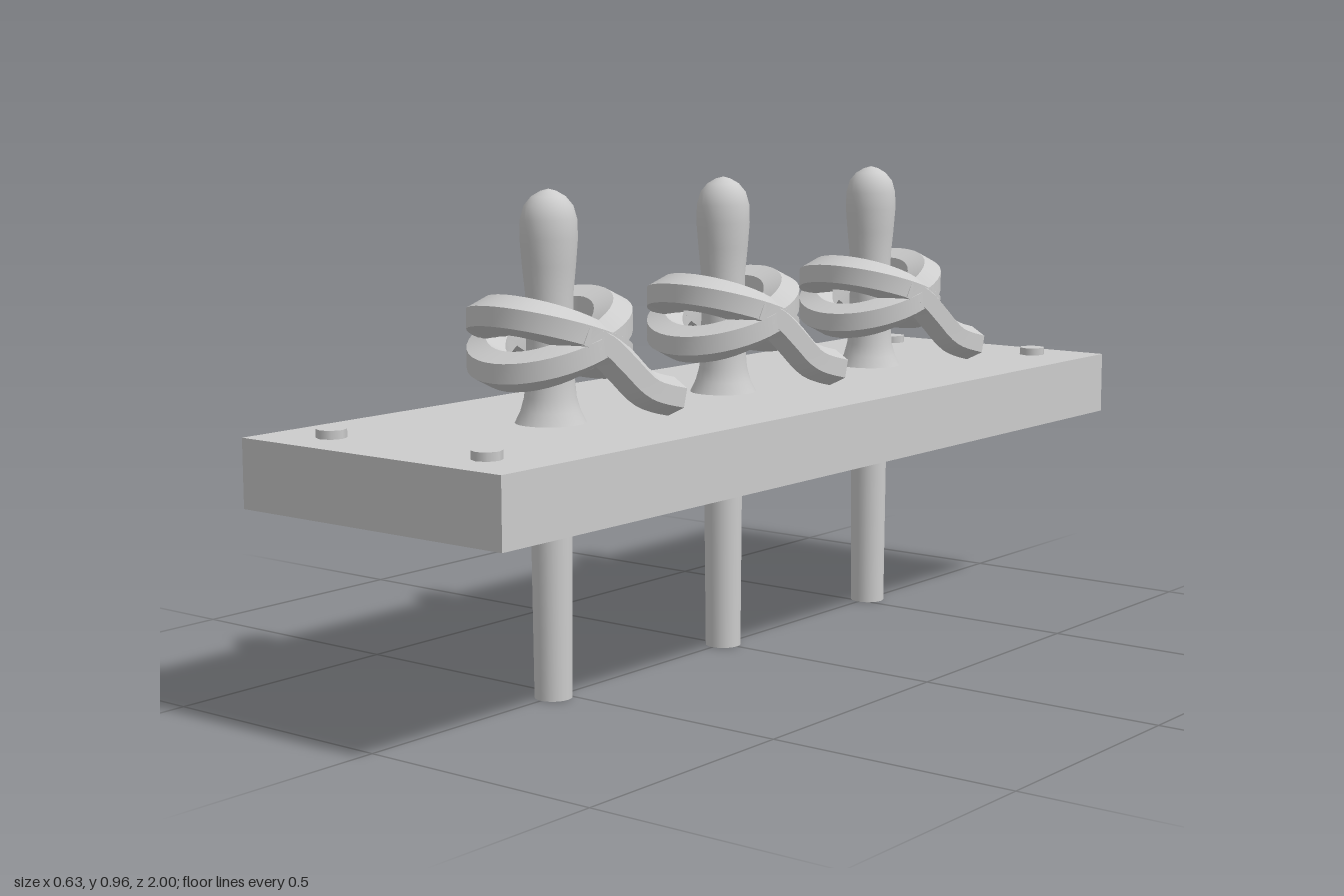
import * as THREE from 'three';

const rope = { r: 0.037, w: 0.036, sides: 6 };

// Sweeps an upright hexagon along a curve; crisp along the edges, smooth lengthwise
function sweepRope(curve, steps, closed) {
  const pos = [], index = [], rings = [];
  const up = new THREE.Vector3(0, 1, 0);
  for (let i = 0; i <= steps; i++) {
    const p = curve.getPoint(i / steps), t = curve.getTangent(i / steps);
    const side = new THREE.Vector3().crossVectors(t, up).normalize();
    const top = new THREE.Vector3().crossVectors(side, t).normalize();
    const ring = [];
    for (let k = 0; k < rope.sides; k++) {
      const a = (k / rope.sides) * Math.PI * 2;
      ring.push(p.clone()
        .addScaledVector(side, Math.sin(a) * rope.w / 0.866)
        .addScaledVector(top, Math.cos(a) * rope.r));
    }
    rings.push(ring);
  }
  for (let k = 0; k < rope.sides; k++) {
    const base = pos.length / 3;
    for (const ring of rings) {
      pos.push(...ring[k].toArray(), ...ring[(k + 1) % rope.sides].toArray());
    }
    for (let i = 0; i < steps; i++) {
      const a = base + i * 2;
      index.push(a, a + 1, a + 2, a + 1, a + 3, a + 2);
    }
  }
  if (!closed) {
    for (const end of [0, steps]) {
      const base = pos.length / 3;
      rings[end].forEach((v) => pos.push(...v.toArray()));
      for (let k = 1; k < rope.sides - 1; k++) {
        if (end === 0) index.push(base, base + k + 1, base + k);
        else index.push(base, base + k, base + k + 1);
      }
    }
  }
  const g = new THREE.BufferGeometry();
  g.setAttribute('position', new THREE.Float32BufferAttribute(pos, 3));
  g.setIndex(index);
  g.computeVertexNormals();
  return g;
}

// Tilted closed loop around a pin; tilt is the height gained at the front
class LoopCurve extends THREE.Curve {
  constructor(tilt) { super(); this.tilt = tilt; }
  getPoint(t, target = new THREE.Vector3()) {
    const a = t * Math.PI * 2;
    return target.set(0.118 * Math.cos(a), 0.686 + this.tilt * Math.sin(a), 0.118 * Math.sin(a));
  }
  getTangent(t, target = new THREE.Vector3()) {
    const a = t * Math.PI * 2;
    return target.set(-0.118 * Math.sin(a), this.tilt * Math.cos(a), 0.118 * Math.cos(a)).normalize();
  }
}

export function createModel() {
  const model = new THREE.Group();
  model.name = 'pinRail';
  const grey = new THREE.MeshStandardMaterial({ color: 0xcccccc });
  grey.name = 'light grey';
  // Double sided so rope surfaces stay closed
  grey.side = THREE.DoubleSide;

  const add = (name, geometry, parent = model) => {
    const mesh = new THREE.Mesh(geometry, grey);
    mesh.name = name;
    parent.add(mesh);
    return mesh;
  };

  // Rail board
  add('rail', new THREE.BoxGeometry(0.63, 0.13, 2)).position.y = 0.462;

  // Bolts at the corners
  const boltGeometry = new THREE.CylinderGeometry(0.028, 0.028, 0.03, 8);
  for (const x of [-0.19, 0.19]) {
    for (const z of [-0.9, 0.9]) add('bolt', boltGeometry).position.set(x, 0.528, z);
  }

  // Turned pin: shaft below the rail, then flared foot, neck and rounded handle
  const shaft = new THREE.CylinderGeometry(0.04, 0.036, 0.46, 24);
  const handle = new THREE.LatheGeometry([
    [0.068, 0.525], [0.056, 0.55], [0.049, 0.575], [0.046, 0.61], [0.044, 0.69], [0.045, 0.77],
    [0.05, 0.82], [0.054, 0.87], [0.053, 0.905], [0.046, 0.93], [0.032, 0.947], [0.015, 0.957], [0, 0.961],
  ].map(([r, y]) => new THREE.Vector2(r, y)), 24);

  // Rope: two crossing loops and a loose tail
  const loopUp = sweepRope(new LoopCurve(0.052), 40, true);
  const loopDown = sweepRope(new LoopCurve(-0.052), 40, true);
  const tail = sweepRope(new THREE.CatmullRomCurve3([
    [0.108, 0.705, 0.05], [0.121, 0.682, 0], [0.134, 0.64, -0.045],
    [0.146, 0.596, -0.09], [0.151, 0.581, -0.125], [0.153, 0.57, -0.168],
  ].map((p) => new THREE.Vector3(...p))), 16, false);

  for (const z of [-0.525, 0, 0.525]) {
    const pin = new THREE.Group();
    pin.name = 'belayingPin';
    pin.position.z = z;
    add('pinShaft', shaft, pin).position.y = 0.23;
    add('pinHandle', handle, pin);
    add('ropeLoopFrontHigh', loopUp, pin);
    add('ropeLoopBackHigh', loopDown, pin);
    add('ropeTail', tail, pin);
    model.add(pin);
  }
  return model;
}
